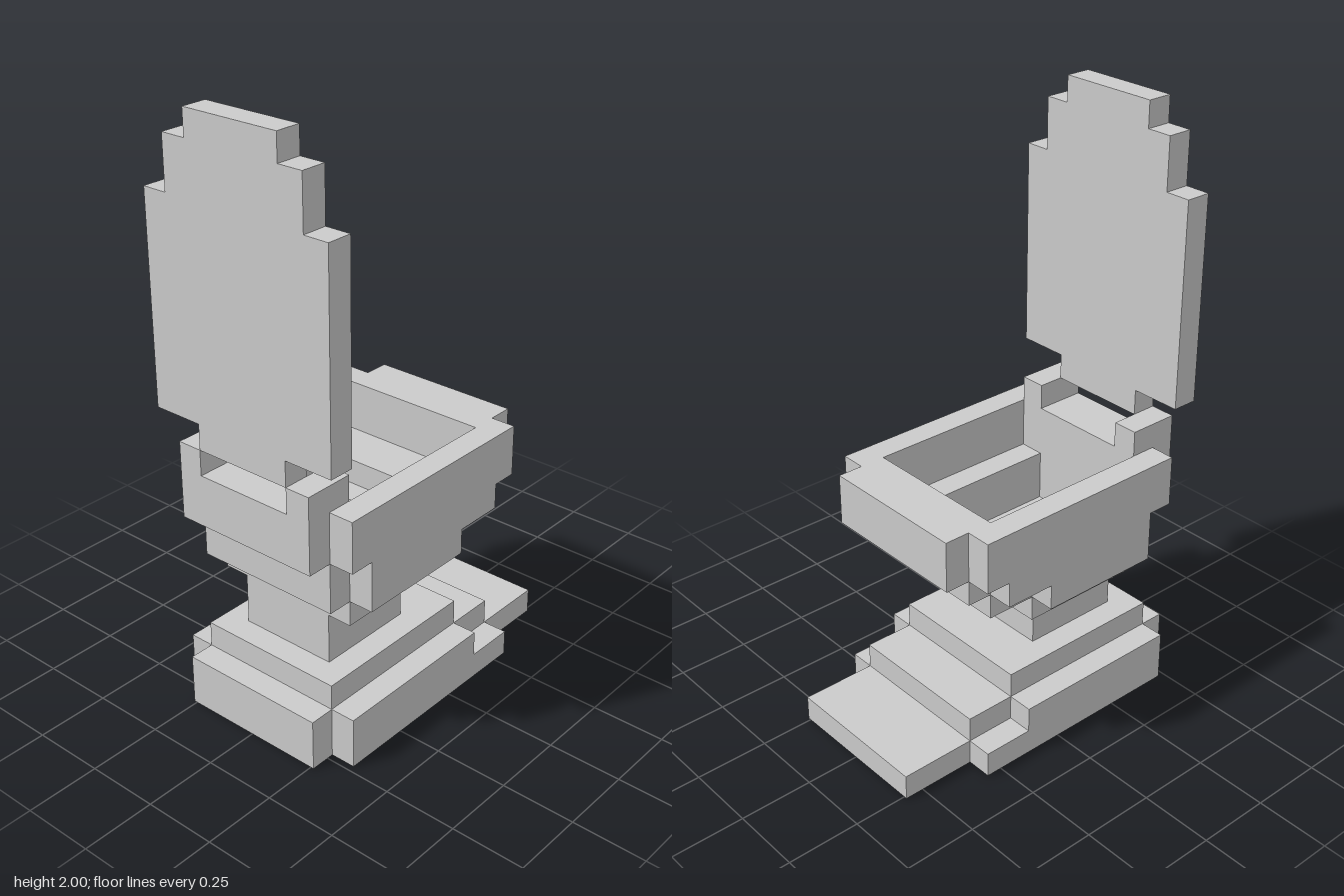
import * as THREE from 'three';

const U = 2 / 23; // edge of one block

export function createModel() {
  const group = new THREE.Group();
  const material = new THREE.MeshStandardMaterial({ color: 0xcccccc, flatShading: true });

  const add = (name, geometry) => {
    const mesh = new THREE.Mesh(geometry.scale(U, U, U), material);
    mesh.name = name;
    group.add(mesh);
  };
  const toShape = (pts, S = THREE.Shape) => new S(pts.map(([x, y]) => new THREE.Vector2(x, y)));
  const rect = (x, z0, z1) => [[-x, -z1], [x, -z1], [x, -z0], [-x, -z0]];

  // Plan with its four corners notched: narrow part z0..z1, wide part w0..w1
  const notched = (n, z0, z1, w, w0, w1) => [
    [-n, -z1], [n, -z1], [n, -w1], [w, -w1], [w, -w0], [n, -w0],
    [n, -z0], [-n, -z0], [-n, -w0], [-w, -w0], [-w, -w1], [-n, -w1],
  ];

  // Horizontal slab from y0 to y1 with an optional opening
  const layer = (name, y0, y1, plan, opening) => {
    const shape = toShape(plan);
    if (opening) shape.holes.push(toShape(opening, THREE.Path));
    const g = new THREE.ExtrudeGeometry(shape, { depth: y1 - y0, bevelEnabled: false });
    add(name, g.rotateX(-Math.PI / 2).translate(0, y0, 0));
  };

  // Stepped base
  layer('basePlate', 0, 1, notched(3, -6.5, 6.5, 4, -3.5, 5.5));
  layer('baseStep', 1, 2, notched(3, -3.5, 6.5, 4, -1.5, 5.5));
  layer('baseTop', 2, 3, rect(3, -1.5, 5.5));

  // Pedestal
  layer('pedestal', 3, 5, rect(2, 0.5, 4.5));

  // Hollow bowl, widening upwards
  layer('bowlFloor', 5, 6, rect(3, -0.5, 4.5));
  layer('bowlLower', 6, 7, notched(3, -2.5, 5.5, 4, -0.5, 4.5), rect(2, 0.5, 4.5));
  layer('bowlUpper', 7, 8, notched(3, -3.5, 5.5, 4, -2.5, 4.5), rect(2, -0.5, 4.5));
  layer('rim', 8, 10, notched(3, -4.5, 6.5, 4, -3.5, 5.5), rect(3, -2.5, 4.5));

  // Hinge posts
  for (const s of [1, -1]) {
    add(s > 0 ? 'hingeLeft' : 'hingeRight', new THREE.BoxGeometry(1, 1, 2).translate(s * 2.5, 10.5, 5.5));
  }

  // Raised lid with a stepped outline
  const half = [[2, 11], [2, 12], [4, 12], [4, 20], [3, 20], [3, 22], [2, 22], [2, 23]];
  const outline = [...half, ...half.map(([x, y]) => [-x, y]).reverse()];
  const lid = new THREE.ExtrudeGeometry(toShape(outline), { depth: 1, bevelEnabled: false });
  add('lid', lid.translate(0, 0, 5.5));

  return group;
}
